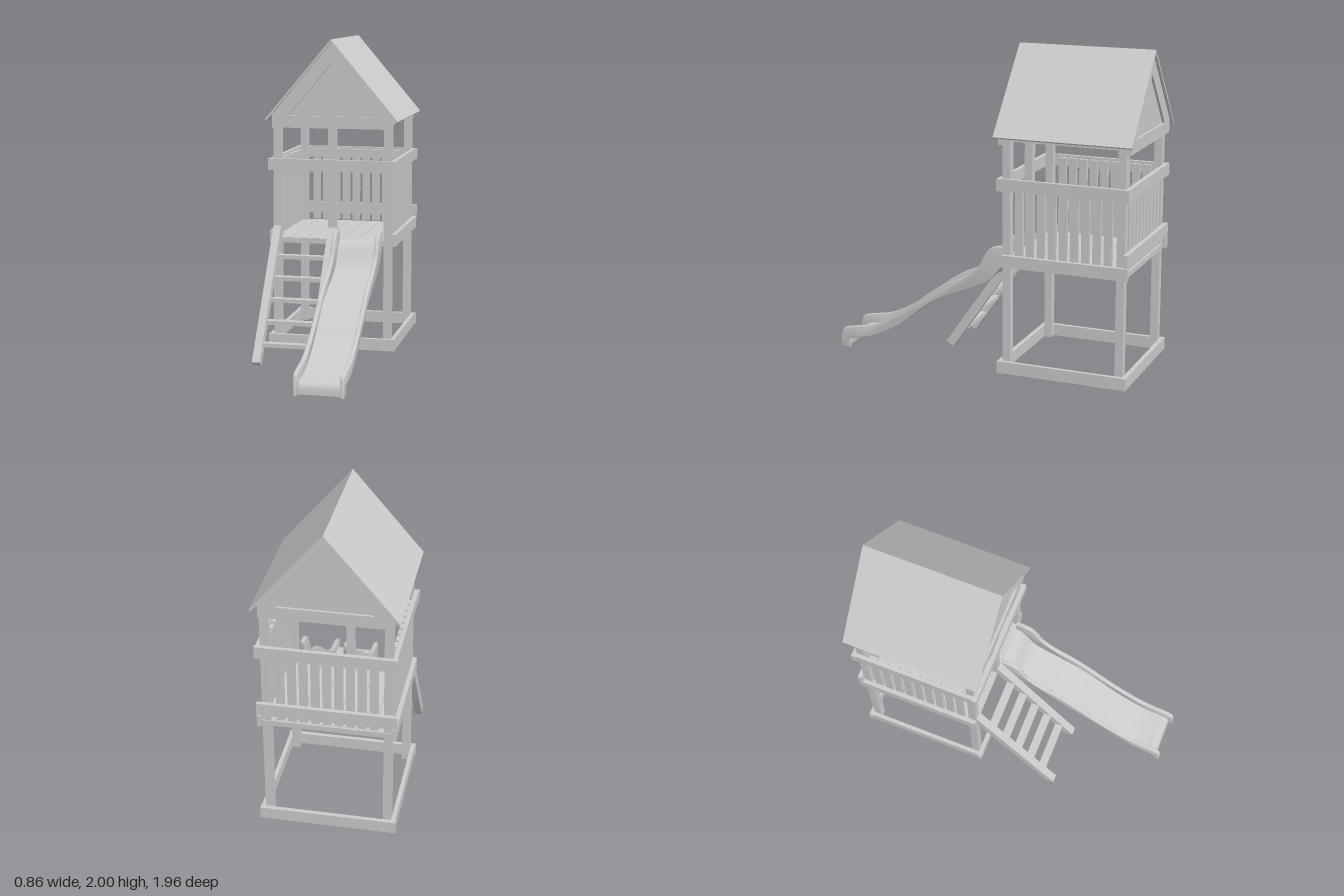
import * as THREE from 'three';
import { toCreasedNormals } from 'three/addons/utils/BufferGeometryUtils.js';

const material = new THREE.MeshStandardMaterial({ color: 0xcccccc });
const FRONT = -0.19, BACK = -0.91, MID = -0.55;   // post rows and tower centre in z

export function createModel() {
  const model = new THREE.Group();

  function add(name, geometry, parent = model) {
    const mesh = new THREE.Mesh(geometry, material);
    mesh.name = name;
    parent.add(mesh);
    return mesh;
  }
  function group(name) {
    const g = new THREE.Group();
    g.name = name;
    model.add(g);
    return g;
  }
  // Box from its limits on each axis
  function box(name, x0, x1, y0, y1, z0, z1, parent) {
    const g = new THREE.BoxGeometry(x1 - x0, y1 - y0, z1 - z0);
    g.translate((x0 + x1) / 2, (y0 + y1) / 2, (z0 + z1) / 2);
    return add(name, g, parent);
  }
  // Side outline (z, y) extruded along x from x0 to x1
  function sidePiece(name, shape, x0, x1, parent, bevel = 0) {
    let g = new THREE.ExtrudeGeometry(shape, {
      depth: x1 - x0 - 2 * bevel, curveSegments: 40, bevelEnabled: bevel > 0,
      bevelSize: bevel, bevelThickness: bevel, bevelOffset: -bevel, bevelSegments: 2,
    });
    g.translate(0, 0, -x1 + bevel);
    g.rotateY(-Math.PI / 2);
    if (bevel > 0 || shape.curves.length < 4) g = toCreasedNormals(g, 0.7);
    return add(name, g, parent);
  }
  const points = (list) => list.map(([a, b]) => new THREE.Vector2(a, b));

  // Posts
  for (const x of [-0.36, 0.36])
    for (const z of [FRONT, BACK])
      box('cornerPost', x - 0.025, x + 0.025, 0.02, 1.5, z - 0.025, z + 0.025);
  box('centerPost', -0.025, 0.025, 0.695, 1.5, FRONT - 0.025, FRONT + 0.025);

  // Base frame, rails and roof beams on the four sides
  for (const [name, y0, y1] of [['baseBeam', 0.02, 0.095], ['topRail', 1.165, 1.24]]) {
    for (const s of [-1, 1]) {
      const a = s * 0.385, b = s * 0.41;
      box(name, Math.min(a, b), Math.max(a, b), y0, y1, -0.935, -0.165);
    }
    box(name, -0.415, 0.415, y0, y1, -0.165, -0.138);
    box(name, -0.415, 0.415, y0, y1, -0.962, -0.935);
  }
  box('backLowerRail', -0.415, 0.415, 0.775, 0.853, -0.962, -0.935);
  for (const s of [-1, 1]) {
    box('sideLowerRail', s > 0 ? 0.385 : -0.412, s > 0 ? 0.412 : -0.385, 0.695, 0.77, -0.962, -0.165);
    box('sideRoofBeam', s > 0 ? 0.335 : -0.385, s > 0 ? 0.385 : -0.335, 1.465, 1.515, -0.935, -0.165);
  }

  // Platform: planks running front to back on a rim
  const platform = group('platform');
  for (let i = 0; i < 7; i++) {
    const x = -0.385 + i * 0.11;
    box('floorPlank', x + 0.002, x + 0.108, 0.712, 0.73, -0.93, -0.17, platform);
  }
  box('frontRim', -0.385, 0.385, 0.695, 0.728, -0.19, -0.165, platform);
  box('backRim', -0.385, 0.385, 0.695, 0.728, -0.94, -0.915, platform);
  for (const s of [-1, 1])
    box('sideRim', s * 0.36 - 0.025, s * 0.36 + 0.025, 0.695, 0.714, -0.93, -0.17, platform);

  // Balusters on the sides and back
  const balusters = group('balusters');
  for (let i = -4; i <= 4; i++) {
    const x = i * 0.069, z = MID + i * 0.07;
    box('backBaluster', x - 0.025, x + 0.025, 0.737, 1.225, -0.935, -0.912, balusters);
    for (const s of [-1, 1])
      box('sideBaluster', s * 0.3735 - 0.0115, s * 0.3735 + 0.0115, 0.737, 1.225, z - 0.025, z + 0.025, balusters);
  }

  // Roof slabs
  const roof = new THREE.Shape(points([
    [0, 2], [-0.43, 1.492], [-0.42, 1.483], [0, 1.979], [0.42, 1.483], [0.43, 1.492],
  ]));
  const roofGeometry = new THREE.ExtrudeGeometry(roof, { depth: 0.86, bevelEnabled: false });
  roofGeometry.translate(0, 0, -0.98);
  add('roof', roofGeometry);

  // Gables: beam, raised triangular trim and recessed panel
  for (const [name, z0, z1, p] of [['front', -0.165, -0.138, -0.165], ['back', -0.962, -0.935, -0.947]]) {
    const gable = group(name + 'Gable');
    box('gableBeam', -0.385, 0.385, 1.44, 1.515, z0, z1, gable);
    const trim = new THREE.Shape(points([[-0.395, 1.515], [0.395, 1.515], [0, 1.981]]));
    trim.holes.push(new THREE.Path(points([[-0.28, 1.516], [0, 1.85], [0.28, 1.516]])));
    const trimGeometry = new THREE.ExtrudeGeometry(trim, { depth: z1 - z0, bevelEnabled: false });
    trimGeometry.translate(0, 0, z0);
    add('gableTrim', trimGeometry, gable);
    const panel = new THREE.Shape(points([[-0.3, 1.51], [0.3, 1.51], [0, 1.87]]));
    const panelGeometry = new THREE.ExtrudeGeometry(panel, { depth: 0.012, bevelEnabled: false });
    panelGeometry.translate(0, 0, p);
    add('gablePanel', panelGeometry, gable);
  }

  // Ladder
  const ladder = group('ladder');
  const stringer = new THREE.Shape(points([[0.327, 0.005], [0.376, 0.035], [-0.16, 0.805], [-0.16, 0.71]]));
  sidePiece('ladderRail', stringer, -0.385, -0.335, ladder);
  sidePiece('ladderRail', stringer, -0.025, 0.025, ladder);
  for (let i = 0; i < 5; i++) {
    const y = 0.127 + i * 0.1235, z = 0.275 - i * 0.0865;
    box('rung', -0.336, -0.024, y - 0.0125, y + 0.0125, z - 0.026, z + 0.026, ladder);
  }

  // Slide: two curved side walls and a thin bed between them
  const slide = group('slide');
  const upper = points([
    [-0.1, 0.797], [-0.05, 0.772], [-0.012, 0.715], [0.015, 0.66], [0.06, 0.615], [0.13, 0.57], [0.23, 0.525],
    [0.33, 0.465], [0.46, 0.365], [0.59, 0.272], [0.75, 0.19], [0.91, 0.157], [0.965, 0.137], [0.982, 0.09],
  ]);
  const lower = points([
    [0.92, 0.08], [0.84, 0.092], [0.75, 0.115], [0.59, 0.197], [0.46, 0.297], [0.33, 0.395], [0.2, 0.46],
    [0.1, 0.5], [0.02, 0.535], [-0.05, 0.575], [-0.11, 0.64], [-0.165, 0.715],
  ]);
  const wall = new THREE.Shape();
  wall.moveTo(-0.165, 0.8);
  wall.splineThru(upper);
  wall.lineTo(0.982, 0.017);
  wall.lineTo(0.92, 0.017);
  wall.lineTo(0.92, 0.08);
  wall.splineThru(lower.slice(1));
  sidePiece('slideWall', wall, 0.028, 0.054, slide, 0.006);
  sidePiece('slideWall', wall, 0.304, 0.33, slide, 0.006);

  const path = new THREE.SplineCurve(points([
    [-0.19, 0.732], [-0.15, 0.727], [-0.105, 0.69], [-0.06, 0.62], [-0.01, 0.567], [0.09, 0.52], [0.2, 0.478],
    [0.33, 0.41], [0.46, 0.313], [0.59, 0.213], [0.75, 0.13], [0.85, 0.105], [0.92, 0.095], [0.95, 0.07], [0.957, 0.02],
  ]));
  const top = path.getSpacedPoints(90);
  const bottom = top.map((p, i) => {
    const t = path.getTangentAt(i / 90);
    return new THREE.Vector2(p.x + t.y * 0.012, p.y - t.x * 0.012);
  });
  const bed = new THREE.Shape([...top, ...bottom.reverse()]);
  const bedMesh = sidePiece('slideBed', bed, 0.045, 0.313, slide);
  bedMesh.geometry = toCreasedNormals(bedMesh.geometry, 0.7);

  return model;
}
